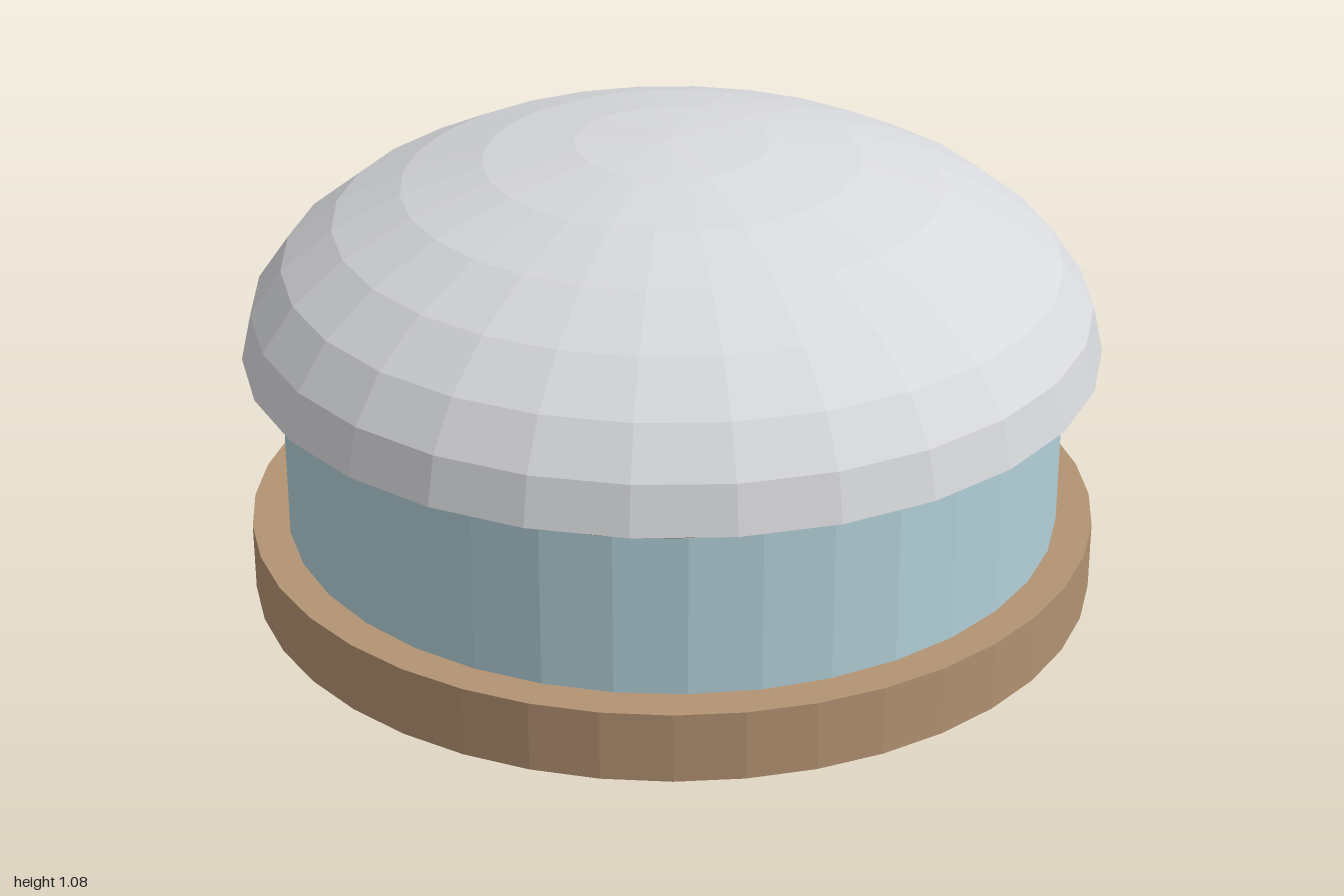
import * as THREE from 'three';

function makeMaterial(name, color) {
  const m = new THREE.MeshStandardMaterial({ color, flatShading: true });
  m.name = name;
  return m;
}

export function createModel() {
  const group = new THREE.Group();
  group.name = 'domedDrum';

  const brown = makeMaterial('warm brown', 0xb39272);
  const blue = makeMaterial('pale blue', 0xb3d0d9);
  const gold = makeMaterial('dull gold', 0xbfa766);
  const grey = makeMaterial('light grey', 0xd8d9dc);
  grey.side = THREE.DoubleSide; // the dome is an open shell

  const add = (name, geometry, material, y) => {
    const mesh = new THREE.Mesh(geometry, material);
    mesh.name = name;
    mesh.position.y = y;
    group.add(mesh);
    return mesh;
  };

  // Round plinth
  const baseH = 0.165;
  add('base', new THREE.CylinderGeometry(1, 1, baseH, 40), brown, baseH / 2);

  // Drum wall, reaching slightly up inside the dome
  const rimY = 0.588, wallTop = 0.61;
  add('drumWall', new THREE.CylinderGeometry(0.915, 0.915, wallTop - baseH, 36), blue, (wallTop + baseH) / 2);

  // Trim ring under the dome's rim
  const ring = new THREE.TorusGeometry(0.957, 0.02, 8, 40);
  ring.rotateX(Math.PI / 2);
  add('trimRing', ring, gold, rimY);

  // Flattened half-sphere dome
  const dome = new THREE.SphereGeometry(1, 28, 7, 0, Math.PI * 2, 0, Math.PI / 2);
  dome.scale(1, 0.495, 1);
  add('dome', dome, grey, rimY);

  return group;
}
